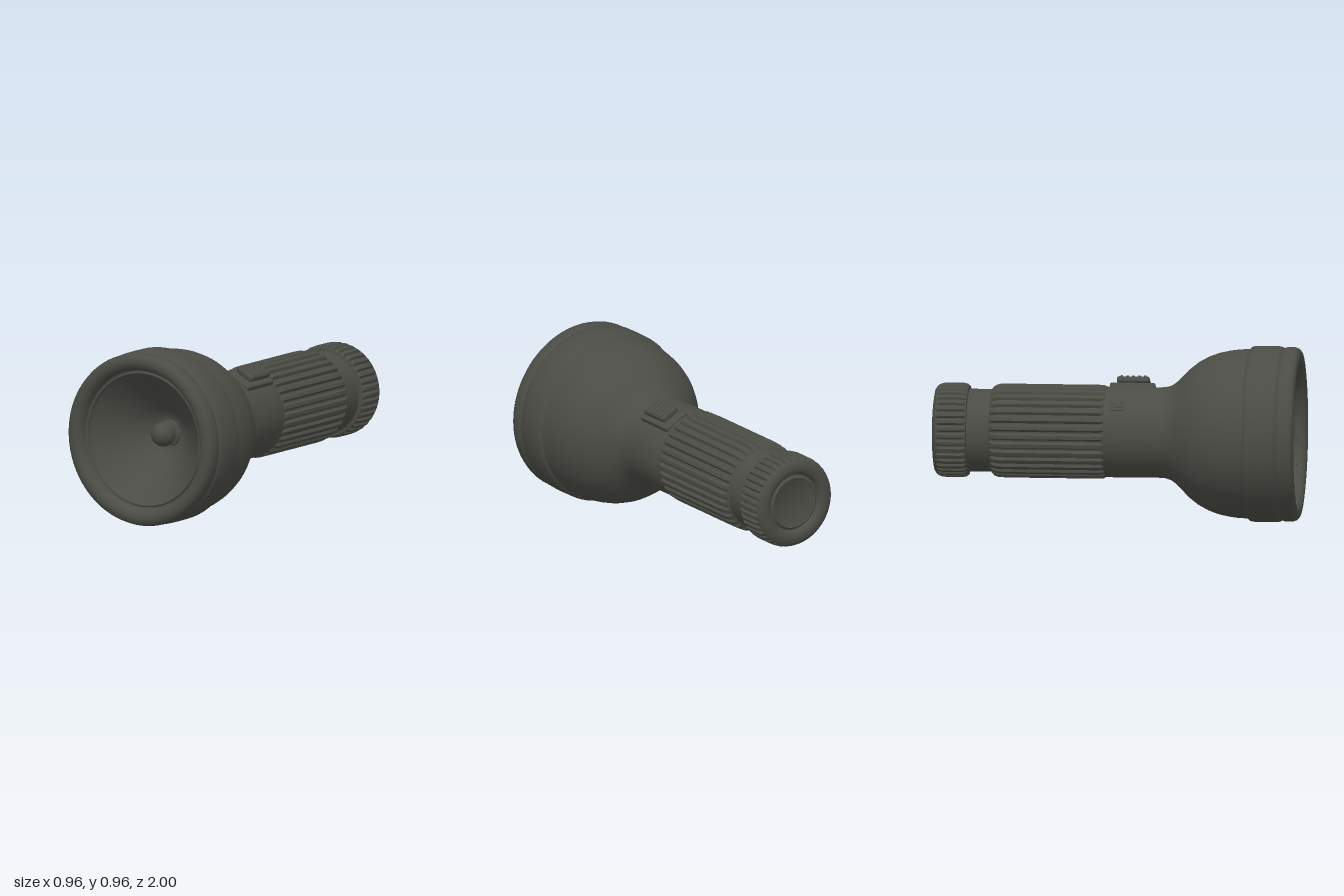
import * as THREE from 'three';
import { toCreasedNormals } from 'three/addons/utils/BufferGeometryUtils.js';
import { RoundedBoxGeometry } from 'three/addons/geometries/RoundedBoxGeometry.js';

const AXIS_Y = 0.48;

export function createModel() {
  const model = new THREE.Group();
  model.name = 'flashlight';
  const rubber = new THREE.MeshStandardMaterial({ color: 0x4b4c45 });
  rubber.name = 'dark grey rubber';

  // Torch axis: everything inside is centred on z
  const axis = new THREE.Group();
  axis.name = 'torch';
  axis.position.y = AXIS_Y;
  model.add(axis);

  const add = (name, geometry, parent = axis) => {
    const mesh = new THREE.Mesh(geometry, rubber);
    mesh.name = name;
    parent.add(mesh);
    return mesh;
  };

  // Turned part from [radius, z] points running back to front; optional groove rule
  const turned = (name, points, segments = 72, groove = null) => {
    let g = new THREE.LatheGeometry(points.map(([r, z]) => new THREE.Vector2(r, z)), segments);
    g.rotateX(Math.PI / 2);
    if (groove) {
      const p = g.attributes.position;
      for (let i = 0; i < p.count; i++) {
        const x = p.getX(i), y = p.getY(i), r = Math.hypot(x, y);
        if (r < groove.from) continue;
        const wave = 0.5 - 0.5 * Math.cos(Math.atan2(y, x) * groove.count);
        const k = (r - groove.depth * THREE.MathUtils.smoothstep(wave, 0.45, 0.95)) / r;
        p.setXY(i, x * k, y * k);
      }
    }
    g.scale(20, 20, 20);
    g = toCreasedNormals(g, 0.7);
    g.scale(0.05, 0.05, 0.05);
    return add(name, g);
  };

  // Bell-shaped head with its band
  turned('head', [
    [0.245, 0.2], [0.248, 0.26], [0.258, 0.295], [0.28, 0.325], [0.315, 0.36],
    [0.355, 0.4], [0.39, 0.445], [0.42, 0.5], [0.44, 0.555], [0.452, 0.61],
    [0.459, 0.66], [0.462, 0.72], [0.474, 0.73], [0.479, 0.745], [0.48, 0.82],
    [0.479, 0.885], [0.474, 0.9], [0.466, 0.907],
  ], 80);

  // Rounded front bezel rolling into the lens opening
  turned('bezel', [
    [0.466, 0.905], [0.473, 0.913], [0.476, 0.93], [0.475, 0.965], [0.468, 0.985],
    [0.453, 0.997], [0.43, 1], [0.41, 0.995], [0.395, 0.982], [0.386, 0.965],
    [0.382, 0.945], [0.374, 0.942], [0.369, 0.95], [0.364, 0.95], [0.359, 0.935],
  ], 80);

  // Reflector dish, from rim inward to the bulb seat
  turned('reflector', [
    [0.36, 0.936], [0.31, 0.885], [0.25, 0.83], [0.19, 0.775],
    [0.13, 0.722], [0.1, 0.7], [0.08, 0.695], [0, 0.69],
  ]);
  turned('bulbCollar', [[0.075, 0.685], [0.07, 0.705], [0.045, 0.715], [0.04, 0.75]], 32);
  add('bulb', new THREE.SphereGeometry(0.067, 32, 20)).position.z = 0.755;

  // Plain barrel under the switch
  turned('barrel', [
    [0.225, -0.83], [0.226, -0.6], [0.235, -0.1], [0.247, -0.05], [0.248, 0.1], [0.246, 0.22],
  ]);

  // Ribbed grip
  turned('grip', [
    [0.222, -0.69], [0.233, -0.685], [0.246, -0.672], [0.254, -0.65], [0.256, -0.6],
    [0.256, -0.1], [0.254, -0.075], [0.248, -0.062], [0.236, -0.055],
  ], 320, { count: 32, depth: 0.016, from: 0.245 });

  // Knurled tail cap with a ring groove and recessed end disc
  turned('tailCap', [
    [0, -0.978], [0.135, -0.978], [0.142, -0.982], [0.148, -0.973], [0.158, -0.97],
    [0.165, -0.985], [0.178, -0.996], [0.2, -1], [0.225, -0.996], [0.243, -0.984],
    [0.254, -0.962], [0.257, -0.94], [0.257, -0.845], [0.253, -0.825], [0.244, -0.814],
    [0.222, -0.81],
  ], 400, { count: 40, depth: 0.013, from: 0.248 });

  // Slide switch, turned towards the model's left
  const slide = new THREE.Group();
  slide.name = 'slideSwitch';
  slide.rotation.z = -0.48;
  axis.add(slide);
  const block = (name, w, h, d, y, z, radius, parent) => {
    add(name, new RoundedBoxGeometry(w, h, d, 2, radius), parent).position.set(0, y, z);
  };
  block('switchPlate', 0.155, 0.05, 0.25, 0.237, 0.075, 0.012, slide);
  block('switchStem', 0.075, 0.06, 0.15, 0.265, 0.075, 0.008, slide);
  block('switchButton', 0.115, 0.035, 0.18, 0.288, 0.075, 0.012, slide);
  for (let i = 0; i < 5; i++) {
    block('thumbRidge', 0.1, 0.014, 0.016, 0.305, 0.011 + i * 0.032, 0.005, slide);
  }

  // Small framed signal key on the other side
  const key = new THREE.Group();
  key.name = 'signalKey';
  key.rotation.z = 0.8;
  axis.add(key);
  block('keyFrame', 0.075, 0.018, 0.07, 0.243, 0.015, 0.006, key);
  block('keyButton', 0.045, 0.02, 0.045, 0.248, 0.015, 0.006, key);

  return model;
}
